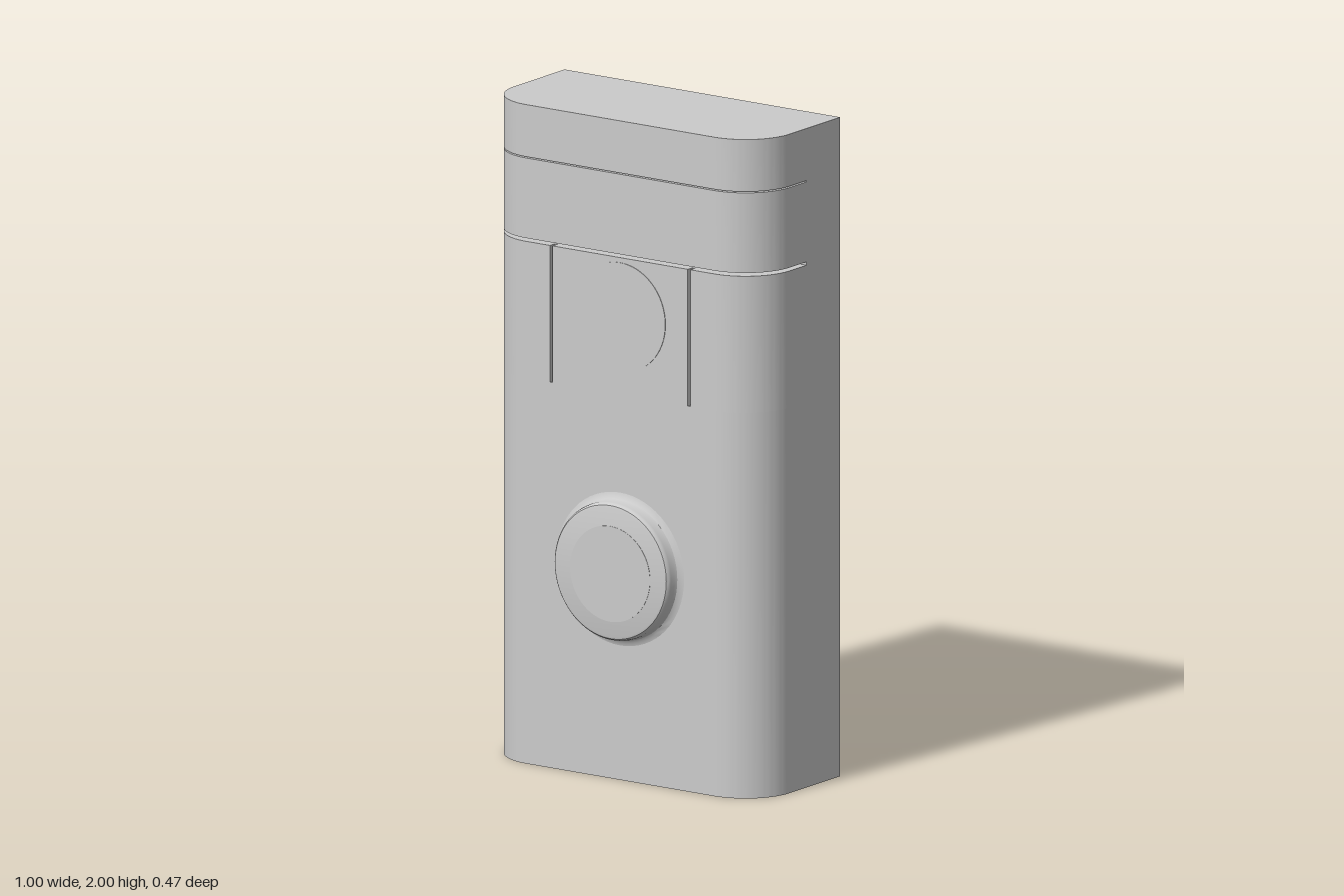
import * as THREE from 'three';
import { toCreasedNormals } from 'three/addons/utils/BufferGeometryUtils.js';

const BACK = -0.235, FRONT = 0.18, HALF = 0.5, R = 0.16, SLIT_BACK = -0.065;
const material = new THREE.MeshStandardMaterial({ color: 0xcccccc });

// Plan outline of the housing (shape y = -z); notches are vertical grooves in the front
function plan(notches = []) {
  const s = new THREE.Shape();
  s.moveTo(HALF, -BACK);
  s.lineTo(-HALF, -BACK);
  s.lineTo(-HALF, -(FRONT - R));
  s.absarc(-HALF + R, -(FRONT - R), R, Math.PI, Math.PI * 1.5, false);
  for (const x of notches) {
    const w = 0.005, d = 0.025;
    s.lineTo(x - w, -FRONT);
    s.lineTo(x - w, -FRONT + d);
    s.lineTo(x + w, -FRONT + d);
    s.lineTo(x + w, -FRONT);
  }
  s.absarc(HALF - R, -(FRONT - R), R, Math.PI * 1.5, Math.PI * 2, false);
  s.closePath();
  return s;
}

// Plan outline of the narrow spine left behind a horizontal slit
function spinePlan() {
  const s = new THREE.Shape();
  s.moveTo(-HALF, -SLIT_BACK);
  s.lineTo(HALF, -SLIT_BACK);
  s.lineTo(HALF, -BACK);
  s.lineTo(-HALF, -BACK);
  s.closePath();
  return s;
}

export function createModel() {
  const group = new THREE.Group();

  const add = (name, geometry) => {
    const mesh = new THREE.Mesh(toCreasedNormals(geometry, 0.5), material);
    mesh.name = name;
    group.add(mesh);
    return mesh;
  };

  // Housing, stacked from horizontal slices
  const slice = (name, shape, y0, y1) => {
    const g = new THREE.ExtrudeGeometry(shape, { depth: y1 - y0, bevelEnabled: false, curveSegments: 16 });
    g.rotateX(-Math.PI / 2);
    g.translate(0, y0, 0);
    add(name, g);
  };
  slice('lowerBody', plan(), 0, 1.17);
  slice('groovedBody', plan([-0.25, 0.25]), 1.17, 1.585);
  slice('lowerSlit', spinePlan(), 1.585, 1.595);
  slice('upperBand', plan(), 1.595, 1.838);
  slice('upperSlit', spinePlan(), 1.838, 1.842);
  slice('topCap', plan(), 1.842, 2);

  // Round parts turned about the z axis
  const turned = (name, points, y) => {
    const g = new THREE.LatheGeometry(points.map(([r, z]) => new THREE.Vector2(r, z)), 64);
    g.rotateX(Math.PI / 2);
    add(name, g).position.set(0, y, FRONT);
  };
  // Button with a flared foot and rounded rim
  turned('button', [
    [0.232, 0], [0.222, 0.003], [0.214, 0.009], [0.21, 0.018], [0.209, 0.034],
    [0.207, 0.042], [0.202, 0.048], [0.195, 0.05], [0, 0.05],
  ], 0.64);
  // Nearly flush discs
  turned('buttonInset', [[0.145, 0.049], [0.145, 0.051], [0, 0.051]], 0.635);
  turned('lensDisc', [[0.165, 0], [0.165, 0.002], [0, 0.002]], 1.405);

  return group;
}
